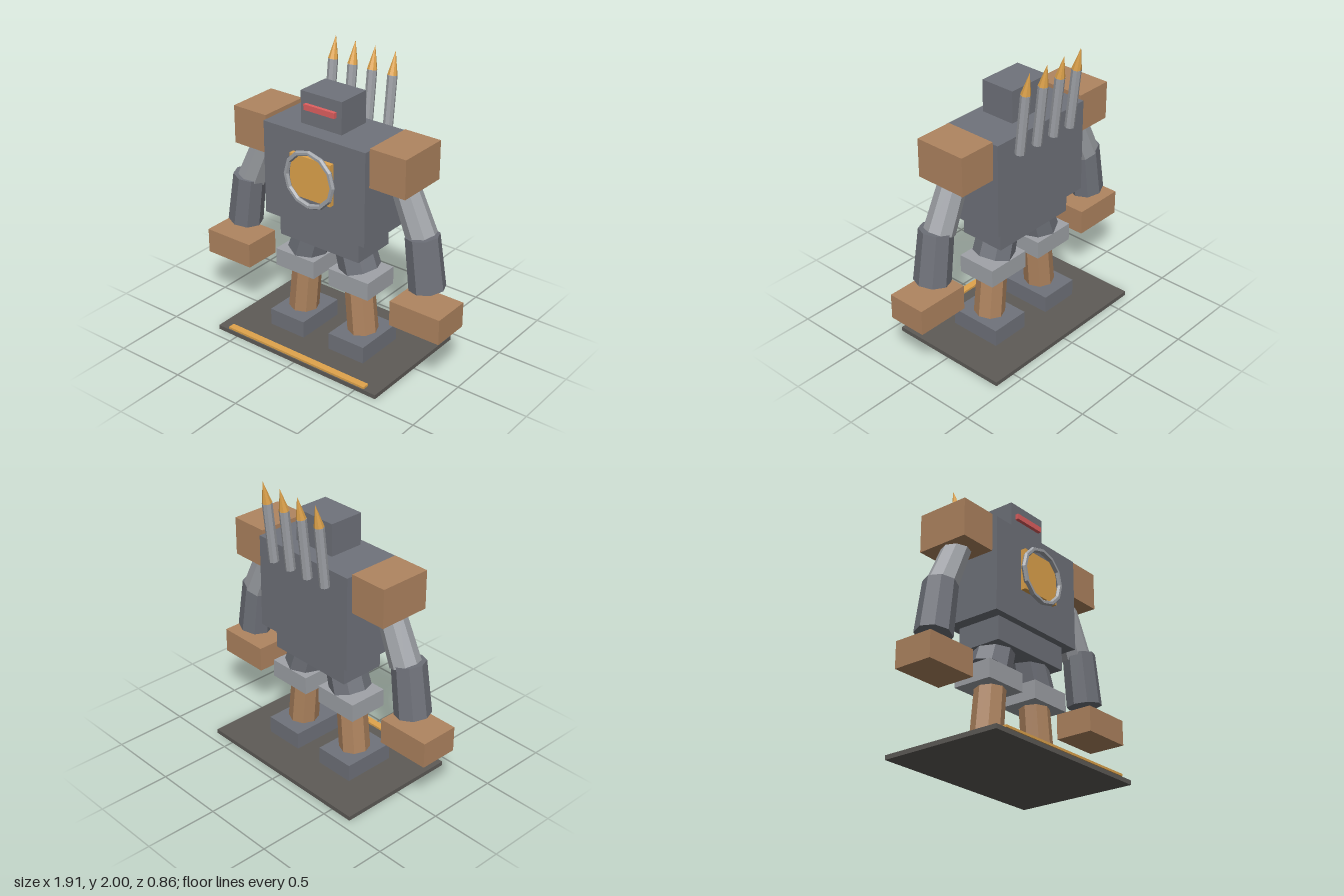
import * as THREE from 'three';

const mat = (color) => new THREE.MeshStandardMaterial({ color, flatShading: true });

export function createModel() {
  const model = new THREE.Group();
  const dark = mat(0x70737b), light = mat(0xa0a3a8), brown = mat(0xb08560);
  const gold = mat(0xe0a44c), red = mat(0xe06060), floor = mat(0x5e5b57);

  const add = (name, geometry, material) => {
    const mesh = new THREE.Mesh(geometry, material);
    mesh.name = name;
    model.add(mesh);
    return mesh;
  };

  // Box given by its extents on each axis
  const box = (name, material, [x0, x1], [y0, y1], [z0, z1]) => {
    const mesh = add(name, new THREE.BoxGeometry(Math.abs(x1 - x0), y1 - y0, z1 - z0), material);
    mesh.position.set((x0 + x1) / 2, (y0 + y1) / 2, (z0 + z1) / 2);
  };

  // Tapered prism running from a bottom point to a top point
  const limb = (name, material, bottom, top, rBottom, rTop, sides = 8) => {
    const a = new THREE.Vector3(...bottom), b = new THREE.Vector3(...top);
    const axis = b.clone().sub(a);
    const mesh = add(name, new THREE.CylinderGeometry(rTop, rBottom, axis.length(), sides), material);
    mesh.position.copy(a).add(b).multiplyScalar(0.5);
    mesh.quaternion.setFromUnitVectors(new THREE.Vector3(0, 1, 0), axis.normalize());
  };

  // Base plate with a front strip
  box('basePlate', floor, [-0.66, 0.66], [0, 0.03], [-0.43, 0.43]);
  box('baseStrip', gold, [-0.57, 0.57], [0.035, 0.05], [0.38, 0.428]);

  // Body and head
  box('pelvis', dark, [-0.32, 0.32], [0.74, 0.9], [-0.16, 0.16]);
  box('torso', dark, [-0.4, 0.4], [0.9, 1.545], [-0.215, 0.21]);
  box('head', dark, [-0.16, 0.16], [1.567, 1.785], [-0.115, 0.13]);
  box('visor', red, [-0.12, 0.12], [1.672, 1.71], [0.125, 0.155]);

  // Chest core inside its ring
  box('chestCore', gold, [-0.16, 0.16], [1.12, 1.405], [0.2, 0.245]);
  const ring = add('chestRing', new THREE.TorusGeometry(0.183, 0.018, 6, 12), light);
  ring.position.set(0, 1.262, 0.253);

  // Arms and legs, mirrored
  for (const [side, s] of [['left', 1], ['right', -1]]) {
    box(side + 'Shoulder', brown, [s * 0.41, s * 0.675], [1.305, 1.567], [-0.185, 0.18]);
    limb(side + 'UpperArm', light, [s * 0.69, 0.99, 0.005], [s * 0.535, 1.34, 0.005], 0.102, 0.09);
    limb(side + 'Forearm', dark, [s * 0.752, 0.655, 0.02], [s * 0.702, 1.01, 0.02], 0.12, 0.112);
    box(side + 'Hand', brown, [s * 0.583, s * 0.955], [0.397, 0.572], [-0.085, 0.185]);

    limb(side + 'Thigh', dark, [s * 0.216, 0.6, 0], [s * 0.127, 0.887, 0], 0.14, 0.125);
    box(side + 'Knee', light, [s * 0.062, s * 0.38], [0.475, 0.6], [-0.14, 0.14]);
    limb(side + 'Shin', brown, [s * 0.251, 0.15, 0.01], [s * 0.215, 0.52, 0.01], 0.104, 0.1);
    box(side + 'Foot', dark, [s * 0.107, s * 0.39], [0.03, 0.15], [-0.175, 0.197]);
  }

  // Row of tilted back spikes with pointed tips
  for (const x of [-0.233, -0.077, 0.077, 0.233]) {
    limb('backSpike', light, [x, 1.438, -0.242], [x, 1.85, -0.287], 0.033, 0.033);
    limb('spikeTip', gold, [x, 1.85, -0.287], [x, 2, -0.318], 0.033, 0);
  }

  return model;
}
